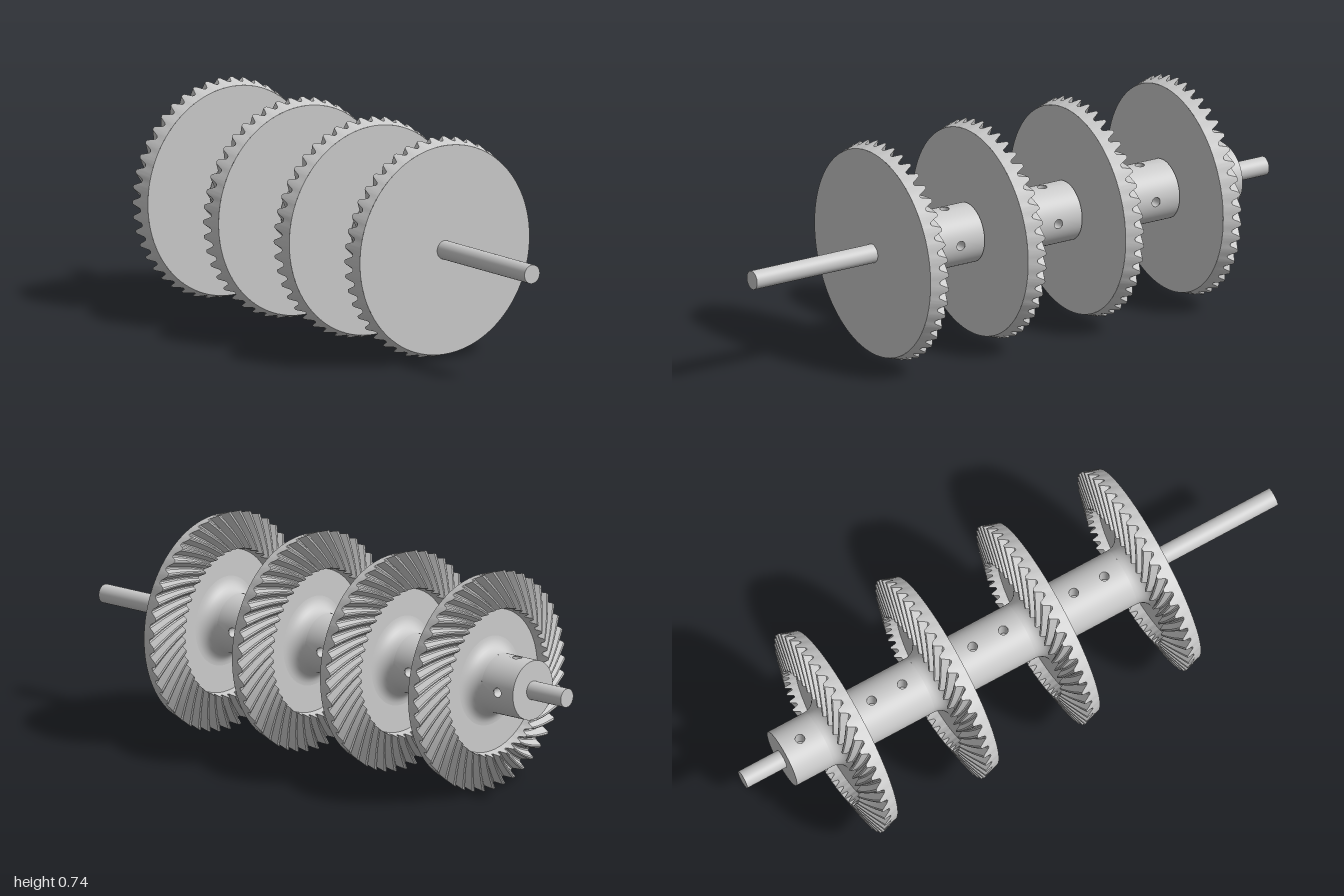
import * as THREE from 'three';
import { toCreasedNormals } from 'three/addons/utils/BufferGeometryUtils.js';

const TEETH = 45, CENTER_Y = 0.369;
const SHAFT_R = 0.0315, HUB_R = 0.1, HOLE_R = 0.016;
const WEB_Z = -0.05, FILLET = 0.05, PATCH = 0.25;
const mat = new THREE.MeshStandardMaterial({ color: 0xcccccc, side: THREE.DoubleSide });
const lerp = THREE.MathUtils.lerp;

function mesh(name, geo) {
  const m = new THREE.Mesh(geo, mat);
  m.name = name;
  return m;
}

// Lathe about the z axis; points are [radius, z] with z rising along the outside
function lathe(pts, start = 0, length = Math.PI * 2) {
  const segs = Math.ceil(96 * length / (Math.PI * 2));
  const g = new THREE.LatheGeometry(pts.map(p => new THREE.Vector2(p[0], p[1])), segs, start, length);
  return g.rotateX(Math.PI / 2);
}

// Spiral bevel teeth: rows run from the front rim, up the back cone, then inward along the teeth
function toothRing() {
  const shape = [0, 0.08, 0.5, 0.93, 1, 0.93, 0.5, 0.08];
  const n = TEETH * shape.length, steps = 8, pos = [], idx = [];
  const addRow = (twist, at) => {
    for (let i = 0; i <= n; i++) {
      const th = i / n * Math.PI * 2 + twist, [r, z] = at(shape[i % shape.length]);
      pos.push(r * Math.cos(th), r * Math.sin(th), z);
    }
  };
  const twistAt = t => 0.22 * t + 0.08 * t * t;
  addRow(0, () => [0.35, 0]);
  for (let j = 0; j <= steps; j++) {
    const t = j / steps;
    addRow(twistAt(t), h => [
      lerp(lerp(0.358, 0.243, t), lerp(0.369, 0.249, t), h),
      lerp(lerp(-0.03, -0.072, t), lerp(-0.06, -0.094, t), h)
    ]);
  }
  addRow(twistAt(1), () => [0.24, WEB_Z]);
  for (let j = 0; j < steps + 2; j++) {
    for (let i = 0; i < n; i++) {
      const a = j * (n + 1) + i, b = a + n + 1;
      idx.push(a, b, a + 1, b, b + 1, a + 1);
    }
  }
  const g = new THREE.BufferGeometry();
  g.setAttribute('position', new THREE.Float32BufferAttribute(pos, 3));
  g.setIndex(idx);
  return toCreasedNormals(g, 0.6);
}

// Curved strip of the hub wall, pierced by the set screw holes
function holePatch(z0, z1, holes) {
  const w = PATCH * HUB_R, pts = [];
  for (let i = 0; i <= 8; i++) pts.push(new THREE.Vector2(lerp(-w, w, i / 8), z0));
  for (let i = 0; i <= 8; i++) pts.push(new THREE.Vector2(lerp(w, -w, i / 8), z1));
  const s = new THREE.Shape(pts);
  for (const z of holes) {
    s.holes.push(new THREE.Path().absarc(0, z, HOLE_R, 0, Math.PI * 2, true));
  }
  const g = new THREE.ShapeGeometry(s, 12), p = g.attributes.position, nor = g.attributes.normal;
  for (let i = 0; i < p.count; i++) {
    const a = p.getX(i) / HUB_R, z = p.getY(i);
    p.setXYZ(i, HUB_R * Math.cos(a), HUB_R * Math.sin(a), z);
    nor.setXYZ(i, Math.cos(a), Math.sin(a), 0);
  }
  return g;
}

function gear(teeth, hubLength, holes) {
  const g = new THREE.Group();
  g.name = 'bevelGear';
  g.add(mesh('teeth', teeth));
  g.add(mesh('frontFace', lathe([[0.35, 0], [SHAFT_R, 0]])));

  // Recessed web with a fillet sweeping into the hub
  const web = [], top = WEB_Z - FILLET;
  for (let i = 0; i <= 8; i++) {
    const a = i / 8 * Math.PI / 2;
    web.push([HUB_R + FILLET * (1 - Math.cos(a)), top + FILLET * Math.sin(a)]);
  }
  g.add(mesh('hubFillet', lathe(web)));
  g.add(mesh('web', lathe([[HUB_R + FILLET, WEB_Z], [0.241, WEB_Z]])));

  // Hub wall, leaving room for the two pierced strips
  const wall = [[HUB_R, -hubLength], [HUB_R, top]], P = Math.PI;
  g.add(mesh('hubWall', lathe(wall, P / 2 + PATCH, P / 2 - 2 * PATCH)));
  g.add(mesh('hubWall', lathe(wall, P + PATCH, 1.5 * P - 2 * PATCH)));
  g.add(mesh('hubEnd', lathe([[SHAFT_R, -hubLength], [HUB_R, -hubLength]])));

  // Set screw holes on the left side and on top
  for (const turn of [0, P / 2]) {
    const side = new THREE.Group();
    side.name = 'setScrewHoles';
    side.add(mesh('piercedWall', holePatch(-hubLength, top, holes)));
    for (const z of holes) {
      const depth = HUB_R - SHAFT_R + 0.002;
      const bore = new THREE.CylinderGeometry(HOLE_R, HOLE_R, depth, 24, 1, true);
      bore.rotateZ(P / 2).translate(HUB_R - 0.001 - depth / 2, 0, z);
      side.add(mesh('holeBore', bore));
    }
    side.rotation.z = turn;
    g.add(side);
  }
  return g;
}

export function createModel() {
  const model = new THREE.Group();
  model.name = 'gearShaft';

  const shaft = mesh('shaft', new THREE.CylinderGeometry(SHAFT_R, SHAFT_R, 2, 48).rotateX(Math.PI / 2));
  shaft.position.y = CENTER_Y;
  model.add(shaft);

  // Four equal gears; the rearmost has a shorter hub with one hole per side
  const teeth = toothRing();
  for (let i = 0; i < 4; i++) {
    const last = i === 3;
    const g = gear(teeth, last ? 0.238 : 0.373, last ? [-0.17] : [-0.166, -0.281]);
    g.position.set(0, CENTER_Y, 0.529 - 0.381 * i);
    model.add(g);
  }
  return model;
}
